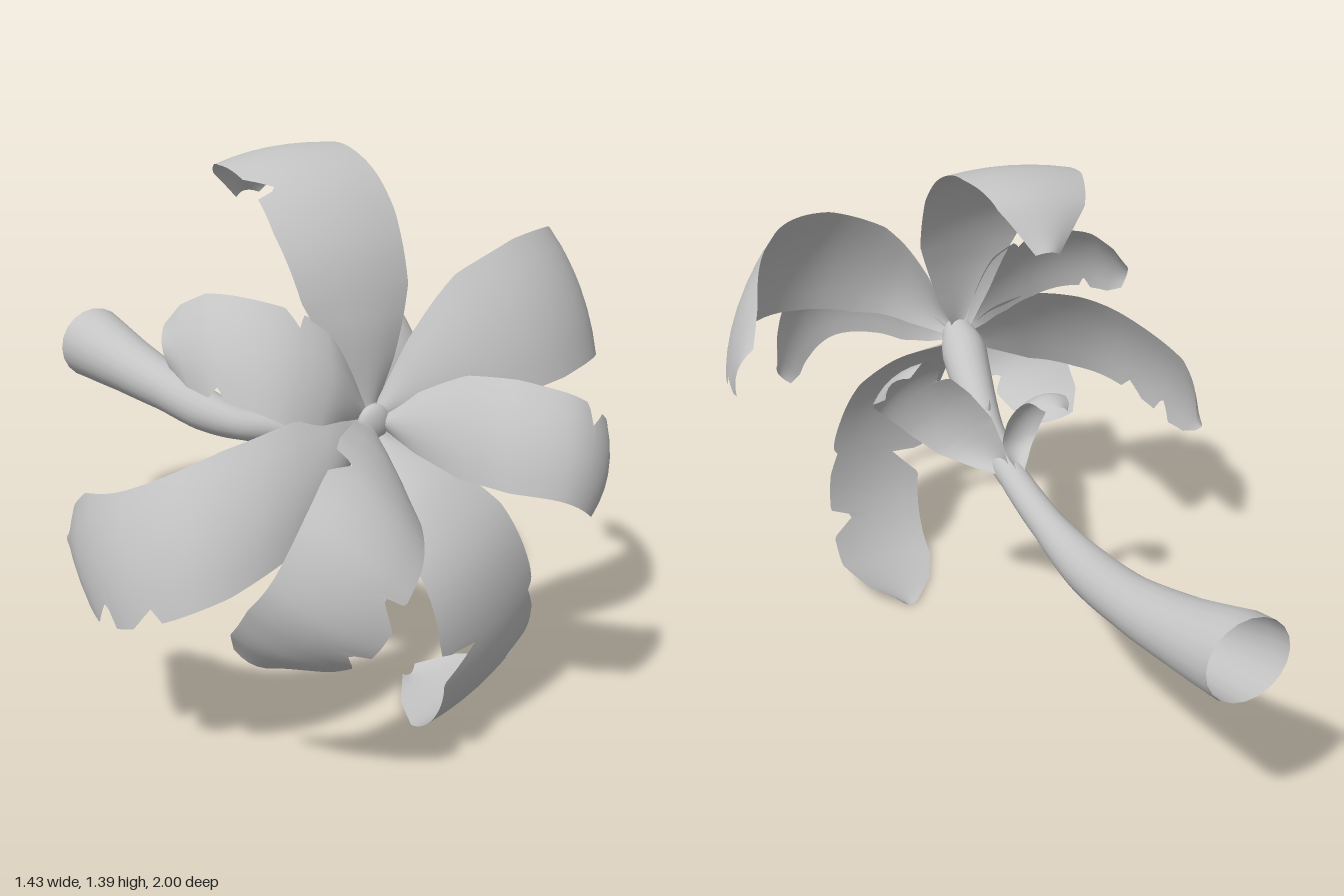
import * as THREE from 'three';

const foliage = new THREE.MeshStandardMaterial({ color: 0xc4c4c4, side: THREE.DoubleSide });
foliage.name = 'plain grey';

const V = (a) => new THREE.Vector3(...a);

// piecewise linear lookup in a list of [key, value]
function lookup(table, k) {
  if (k <= table[0][0]) return table[0][1];
  for (let i = 1; i < table.length; i++) {
    const [a, va] = table[i - 1], [b, vb] = table[i];
    if (k <= b) return va + (vb - va) * (k - a) / (b - a);
  }
  return table[table.length - 1][1];
}

function add(group, name, geometry) {
  const mesh = new THREE.Mesh(geometry, foliage);
  mesh.name = name;
  group.add(mesh);
  return mesh;
}

// half width of a blade along its length, with a blunt or a pointed tip
const bladeBase = [[0, 0.12], [0.12, 0.5], [0.28, 0.88], [0.45, 1]];
const bluntTip = [...bladeBase, [0.8, 1], [0.92, 0.82], [1, 0.45]];
const pointedTip = [...bladeBase, [0.82, 1], [0.92, 0.68], [1, 0.15]];

// Bent blade: spine points, half-width vector at base and tip, tears as [t, edge, depth]
function leafGeometry({ spine, side, tears = [], cup = 0.02, width = bluntTip }) {
  const rows = 90, cols = 6;
  const path = new THREE.CatmullRomCurve3(spine.map(V));
  const s0 = V(side[0]), s1 = V(side[1]);
  const geo = new THREE.PlaneGeometry(1, 1, cols, rows);
  const pos = geo.attributes.position;
  for (let r = 0; r <= rows; r++) {
    const t = r / rows;
    const centre = path.getPointAt(t);
    const half = s0.clone().lerp(s1, t).multiplyScalar(lookup(width, t));
    const normal = path.getTangentAt(t).cross(half).normalize();
    for (let c = 0; c <= cols; c++) {
      const u = (c / cols) * 2 - 1;
      let reach = 1;
      for (const [at, edge, depth] of tears) {
        // abrupt on the base side, sloping towards the tip
        const d = t - at;
        const k = d < 0 ? 1 + d / 0.015 : 1 - d / 0.06;
        if (edge * u > 0 && k > 0) reach = Math.min(reach, 1 - depth * k);
      }
      const w = u * reach;
      const p = centre.clone().addScaledVector(half, w).addScaledVector(normal, cup * (0.4 - w * w));
      pos.setXYZ(r * (cols + 1) + c, p.x, p.y, p.z);
    }
  }
  geo.computeVertexNormals();
  return geo;
}

const leaves = {
  topLeaf: {
    spine: [[-0.04, 0.82, 0.55], [-0.05, 1.05, 0.53], [-0.06, 1.22, 0.47], [-0.06, 1.35, 0.35],
      [-0.06, 1.4, 0.2], [-0.05, 1.37, 0.06], [-0.02, 1.26, -0.045]],
    side: [[-0.17, 0, 0], [-0.17, -0.02, 0]], tears: [[0.56, 1, 0.35]], cup: 0.015,
    width: [...bladeBase, [0.74, 1], [0.88, 0.72], [1, 0.2]],
  },
  upperLeftLeaf: {
    spine: [[-0.02, 0.83, 0.56], [0.13, 0.98, 0.66], [0.33, 1.055, 0.69], [0.5, 1.07, 0.635],
      [0.63, 1.03, 0.49], [0.7, 0.95, 0.285]],
    side: [[-0.03, 0.17, -0.08], [-0.05, 0.15, -0.035]], tears: [[0.67, 1, 0.4], [0.91, -1, 0.3]],
  },
  upperRightLeaf: {
    spine: [[-0.05, 0.83, 0.55], [-0.17, 0.93, 0.58], [-0.29, 0.99, 0.55], [-0.39, 1.02, 0.46], [-0.46, 1, 0.32]],
    side: [[-0.06, -0.13, 0.05], [-0.02, -0.1, 0.06]], tears: [[0.42, -1, 0.3], [0.75, 1, 0.25]],
  },
  sideRightLeaf: {
    spine: [[-0.05, 0.8, 0.56], [-0.22, 0.76, 0.65], [-0.42, 0.71, 0.68], [-0.58, 0.65, 0.635],
      [-0.68, 0.58, 0.51], [-0.7, 0.54, 0.35], [-0.66, 0.52, 0.2]],
    side: [[-0.04, -0.16, 0.06], [-0.01, -0.13, 0.06]], tears: [[0.63, 1, 0.25], [0.76, 1, 0.4]],
    width: pointedTip,
  },
  frontLeftLeaf: {
    spine: [[-0.02, 0.81, 0.57], [0.06, 0.83, 0.73], [0.14, 0.83, 0.87], [0.25, 0.8, 0.945],
      [0.34, 0.74, 0.94], [0.42, 0.65, 0.85]],
    side: [[0.03, 0.14, -0.04], [0.05, 0.09, -0.03]], tears: [[0.7, 1, 0.4]],
  },
  frontRightLeaf: {
    spine: [[-0.05, 0.8, 0.57], [-0.14, 0.78, 0.75], [-0.24, 0.74, 0.88], [-0.34, 0.66, 0.94],
      [-0.41, 0.53, 0.92], [-0.44, 0.43, 0.83], [-0.45, 0.36, 0.72]],
    side: [[0.06, -0.13, 0.08], [0.11, -0.05, 0.06]], tears: [[0.35, -1, 0.35], [0.58, 1, 0.4], [0.76, 1, 0.35]],
  },
  bottomLeaf: {
    spine: [[-0.03, 0.78, 0.57], [0.03, 0.66, 0.72], [0.09, 0.52, 0.8], [0.14, 0.36, 0.81],
      [0.18, 0.2, 0.76], [0.2, 0.08, 0.65], [0.21, 0.025, 0.41]],
    side: [[0.16, 0.06, -0.03], [0.16, 0.04, -0.04]], tears: [[0.5, -1, 0.6], [0.67, 1, 0.55], [0.5, 1, 0.12]],
    cup: 0.015, width: pointedTip,
  },
  trunkLeaf: {
    spine: [[0.07, 0.63, 0.02], [0.13, 0.7, 0.1], [0.21, 0.79, 0.15], [0.3, 0.88, 0.15], [0.35, 0.93, 0.1], [0.38, 0.95, 0.03]],
    side: [[-0.07, 0.07, -0.06], [-0.06, 0.07, -0.04]], tears: [[0.6, 1, 0.35], [0.8, -1, 0.25]],
  },
  trunkSprout: {
    spine: [[0.05, 0.64, -0.02], [0.03, 0.7, 0.04], [0, 0.8, 0.03], [-0.02, 0.86, -0.03], [-0.02, 0.855, -0.11]],
    side: [[-0.06, 0, 0], [-0.05, 0, 0]], cup: 0.015,
  },
};

// trunk centre line and radius by z
const trunkLine = [[-0.018, 0.632, -1], [0.018, 0.595, -0.8], [0.045, 0.568, -0.6], [0.055, 0.556, -0.4],
  [0.057, 0.572, -0.2], [0.058, 0.617, 0], [0.042, 0.667, 0.2], [0, 0.745, 0.4], [-0.025, 0.787, 0.5], [-0.04, 0.81, 0.57]];
const trunkRadius = [[-1, 0.113], [-0.8, 0.087], [-0.6, 0.069], [-0.4, 0.062], [-0.2, 0.046], [0, 0.04],
  [0.2, 0.046], [0.4, 0.06], [0.49, 0.066], [0.57, 0.045]];

function trunkGeometry() {
  const rings = 48, sides = 20;
  const path = new THREE.CatmullRomCurve3(trunkLine.map(V));
  const geo = new THREE.TubeGeometry(path, rings, 1, sides, false);
  const pos = geo.attributes.position, p = new THREE.Vector3();
  for (let r = 0; r <= rings; r++) {
    const centre = path.getPointAt(r / rings);
    const radius = lookup(trunkRadius, centre.z);
    for (let s = 0; s <= sides; s++) {
      const i = r * (sides + 1) + s;
      p.fromBufferAttribute(pos, i).sub(centre).multiplyScalar(radius).add(centre);
      // the cut end is flat
      pos.setXYZ(i, p.x, p.y, r === 0 ? -1 : Math.max(p.z, -0.99));
    }
  }
  return geo;
}

export function createModel() {
  const model = new THREE.Group();
  model.name = 'leafyPlant';
  add(model, 'trunk', trunkGeometry());

  // rounded bud closing the crown
  const bud = add(model, 'crownBud', new THREE.SphereGeometry(0.045, 20, 12));
  bud.position.set(-0.04, 0.81, 0.568);
  bud.scale.z = 0.5;

  // small stubs on the trunk
  for (const [x, y, z, tilt] of [[0.03, 0.725, 0.22, 0.2], [0.075, 0.7, 0.24, -0.9]]) {
    const stub = add(model, 'trunkStub', new THREE.ConeGeometry(0.014, 0.06, 6));
    stub.position.set(x, y, z);
    stub.rotation.z = tilt;
  }

  for (const [name, spec] of Object.entries(leaves)) add(model, name, leafGeometry(spec));
  return model;
}
